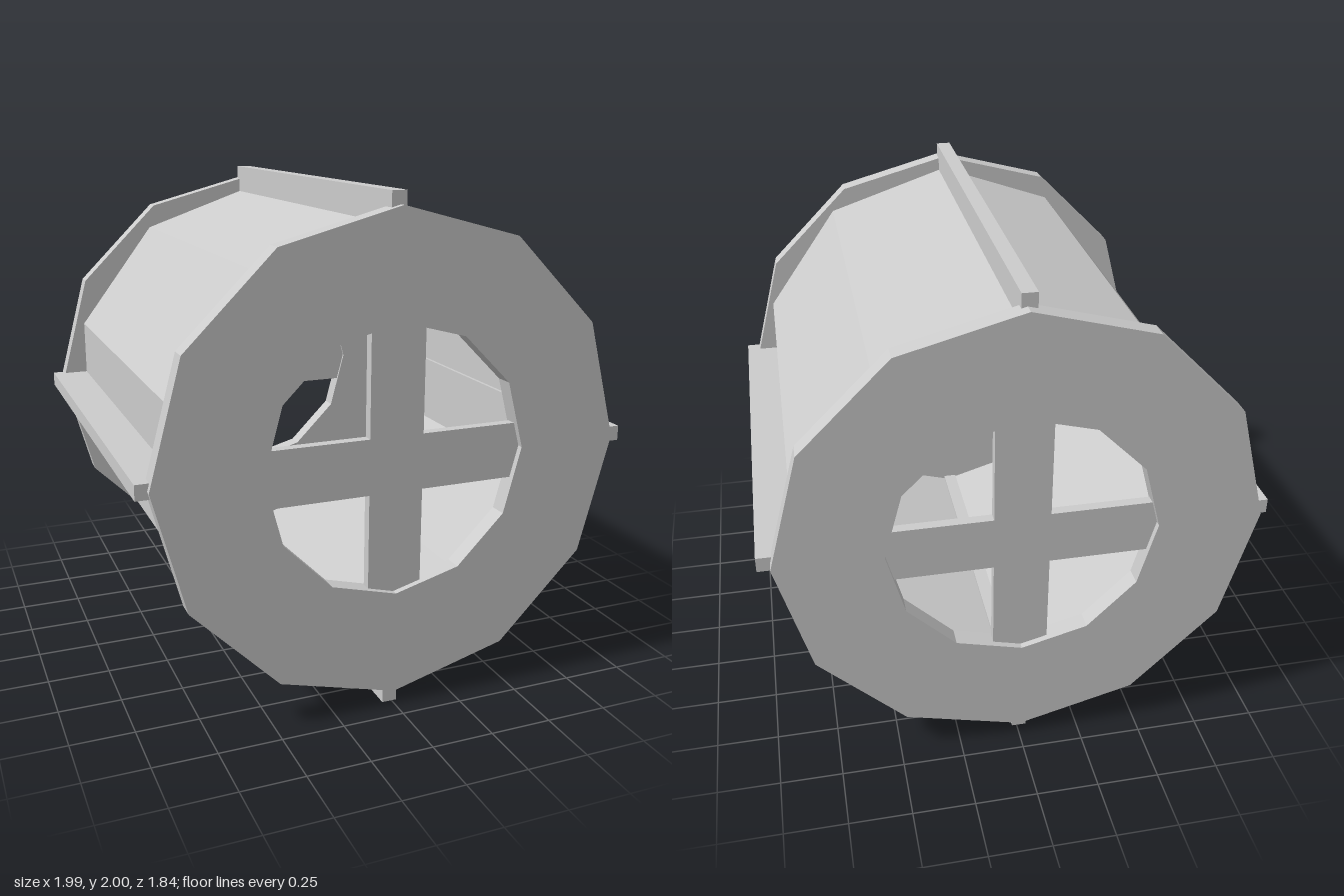
import * as THREE from 'three';

const material = new THREE.MeshStandardMaterial({ color: 0xcccccc, flatShading: true });
const shellMaterial = new THREE.MeshStandardMaterial({ color: 0xcccccc, flatShading: true, side: THREE.DoubleSide });

// Regular polygon with a corner straight up
function polygon(radius, sides) {
  return Array.from({ length: sides }, (_, i) => {
    const a = Math.PI / 2 + (i / sides) * Math.PI * 2;
    return new THREE.Vector2(Math.cos(a) * radius, Math.sin(a) * radius);
  });
}

function add(group, name, geometry, x, y, z, mat = material) {
  const mesh = new THREE.Mesh(geometry, mat);
  mesh.name = name;
  mesh.position.set(x, y, z);
  group.add(mesh);
  return mesh;
}

// Open ten-sided tube, running along z, from a slightly uneven outline
function shellGeometry(z0, z1) {
  const right = [[0.53, -0.71], [0.85, -0.28], [0.85, 0.27], [0.53, 0.72]];
  const left = [[-0.5, 0.72], [-0.84, 0.27], [-0.84, -0.28], [-0.5, -0.71]];
  const outline = [[0, -0.86], ...right, [0, 0.895], ...left];
  const positions = [];
  outline.forEach(([ax, ay], i) => {
    const [bx, by] = outline[(i + 1) % outline.length];
    positions.push(ax, ay, z1, ax, ay, z0, bx, by, z0);
    positions.push(ax, ay, z1, bx, by, z0, bx, by, z1);
  });
  const geometry = new THREE.BufferGeometry();
  geometry.setAttribute('position', new THREE.Float32BufferAttribute(positions, 3));
  geometry.computeVertexNormals();
  return geometry;
}

export function createModel() {
  const model = new THREE.Group();
  model.name = 'barrel';

  add(model, 'body', shellGeometry(-0.85, 0.85), 0, 1, 0, shellMaterial);

  // End rims: twelve-sided rings with a round opening
  const ringShape = new THREE.Shape(polygon(0.947, 12));
  ringShape.holes.push(new THREE.Path(polygon(0.53, 12).reverse()));
  const ringGeometry = new THREE.ExtrudeGeometry(ringShape, { depth: 0.075, bevelEnabled: false });

  // Cross braces, their ends buried in the rims
  const w = 0.11, r = 0.6;
  const crossShape = new THREE.Shape([
    [w, w], [w, r], [-w, r], [-w, w], [-r, w], [-r, -w],
    [-w, -w], [-w, -r], [w, -r], [w, -w], [r, -w], [r, w],
  ].map(([x, y]) => new THREE.Vector2(x, y)));
  const crossGeometry = new THREE.ExtrudeGeometry(crossShape, { depth: 0.04, bevelEnabled: false });

  for (const [side, sign] of [['front', 1], ['back', -1]]) {
    add(model, side + 'Rim', ringGeometry, -0.003, 1.003, sign > 0 ? 0.845 : -0.92);
    add(model, side + 'Cross', crossGeometry, 0, 0.987, sign > 0 ? 0.855 : -0.895);
  }

  // Long rails on the four sides
  const railLength = 1.77;
  const railZ = 0.01;
  add(model, 'topRail', new THREE.BoxGeometry(0.06, 0.13, railLength), -0.01, 1.935, railZ);
  add(model, 'bottomRail', new THREE.BoxGeometry(0.06, 0.16, railLength), -0.01, 0.08, railZ);
  for (const [name, sign] of [['leftRail', 1], ['rightRail', -1]]) {
    add(model, name, new THREE.BoxGeometry(0.16, 0.06, railLength), sign * 0.915, 1.003, railZ);
  }

  return model;
}
